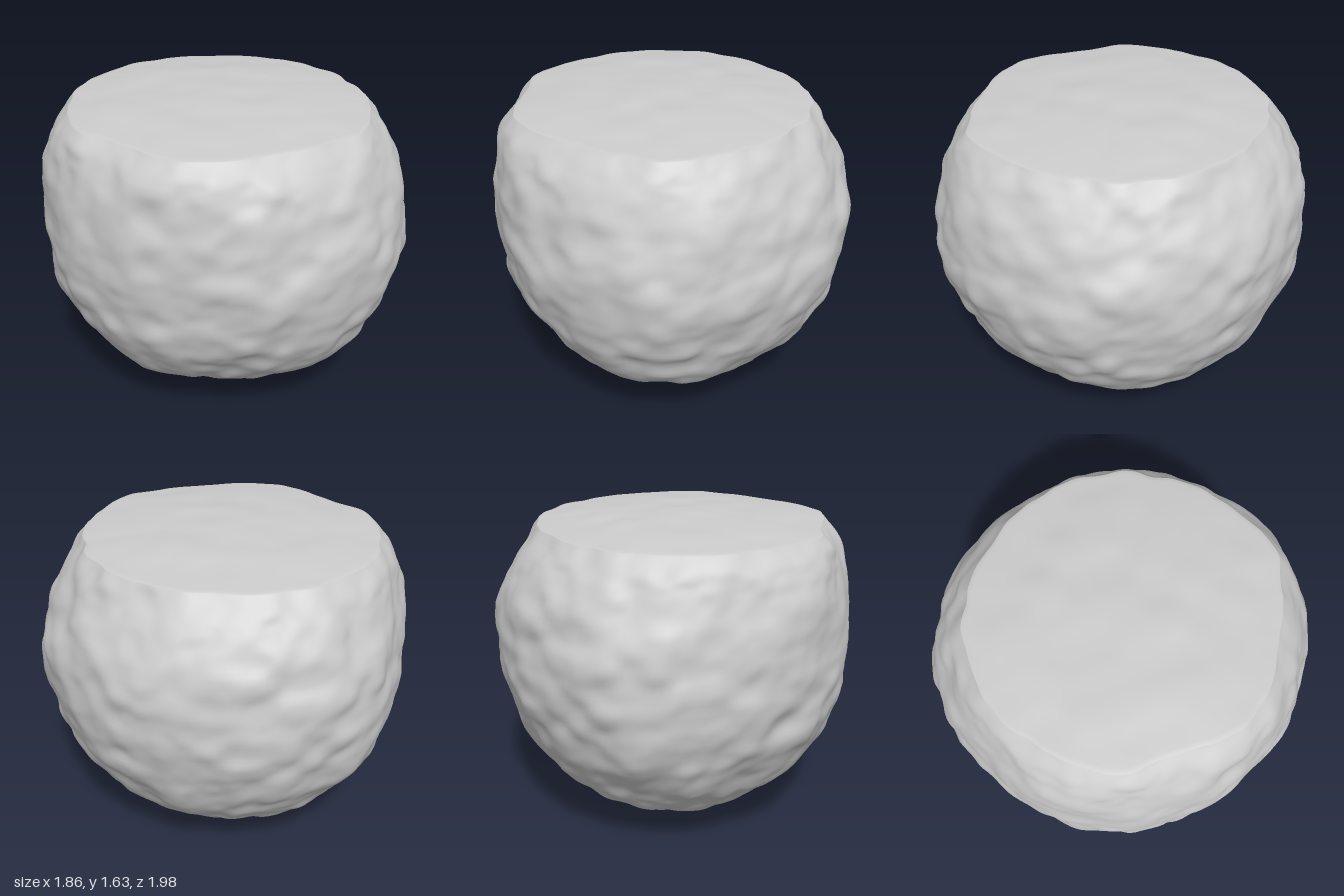
import * as THREE from 'three';

const SEGMENTS = 190, SIDE_RINGS = 110, TOP_RINGS = 32;

// Smooth seeded 3D value noise in the range -1..1
function hash(x, y, z) {
  let h = (Math.imul(x, 374761393) + Math.imul(y, 668265263) + Math.imul(z, 1274126177) + 977) | 0;
  h = Math.imul(h ^ (h >>> 13), 1274126177);
  return ((h ^ (h >>> 16)) >>> 0) / 2147483648 - 1;
}
function noise(x, y, z) {
  const ix = Math.floor(x), iy = Math.floor(y), iz = Math.floor(z);
  const ease = (t) => t * t * t * (t * (t * 6 - 15) + 10);
  const u = ease(x - ix), v = ease(y - iy), w = ease(z - iz);
  const mix = THREE.MathUtils.lerp;
  const row = (b, c) => mix(hash(ix, iy + b, iz + c), hash(ix + 1, iy + b, iz + c), u);
  return mix(mix(row(0, 0), row(1, 0), v), mix(row(0, 1), row(1, 1), v), w);
}
const bumps = (x, y, z) =>
  0.018 * noise(x * 4, y * 4.5, z * 4) +
  0.015 * noise(x * 8, y * 9, z * 8) +
  0.004 * noise(x * 16, y * 18, z * 16);

// Plan radii every 30 degrees, from +x towards +z
const WAIST = [0.935, 0.945, 0.945, 0.975, 0.945, 0.93, 0.935, 0.95, 0.945, 0.985, 0.955, 0.945];
const RIM = [0.69, 0.70, 0.725, 0.755, 0.74, 0.80, 0.77, 0.79, 0.76, 0.75, 0.725, 0.69];
function planRadius(table, turn) {
  const t = turn * 12, i = Math.floor(t), f = t - i;
  const at = (k) => table[(i + k + 12) % 12];
  const [a, b, c, d] = [at(-1), at(0), at(1), at(2)];
  return b + 0.5 * f * (c - a + f * (2 * a - 5 * b + 4 * c - d + f * (3 * (b - c) + d - a)));
}

// Side outline from the underside tip to the rim, as [radius / waist radius, height]
const outline = new THREE.SplineCurve([
  [0, 0], [0.13, 0.02], [0.38, 0.1], [0.565, 0.2], [0.7, 0.3], [0.8, 0.4], [0.92, 0.6],
  [0.98, 0.8], [1, 1.0], [0.975, 1.2], [0.9, 1.4], [0.84, 1.5], [0.77, 1.585],
].map(([r, y]) => new THREE.Vector2(r, y)));

// Point on the rugged side; t runs from tip to rim
function sidePoint(t, turn) {
  const p = outline.getPoint(t), a = turn * Math.PI * 2;
  const { lerp, smoothstep } = THREE.MathUtils;
  const toRim = smoothstep(p.y, 1.05, 1.585);
  const r = p.x * lerp(planRadius(WAIST, turn), planRadius(RIM, turn) / 0.77, toRim);
  const tip = -0.03 * (1 - smoothstep(p.y, 0, 0.5));
  const pos = new THREE.Vector3(Math.cos(a) * r + tip, p.y, Math.sin(a) * r + tip);
  const out = new THREE.Vector3(pos.x, (p.y - 0.96) * (1 - toRim), pos.z).normalize();
  return pos.addScaledVector(out, bumps(pos.x, pos.y, pos.z) * smoothstep(p.y, 0, 0.12));
}

// Point on the gently domed cut; t runs from rim to centre
function topPoint(t, turn) {
  const pos = sidePoint(1, turn), k = 1 - t;
  pos.x *= k;
  pos.z *= k;
  pos.y += 0.048 * (1 - k * k) + 0.005 * Math.min(1, t * 5) * noise(pos.x * 6, 3, pos.z * 6);
  return pos;
}

// Closed rings from the tip up the side and over the top, joined into one smooth skin
function boulderGeometry() {
  const positions = [], index = [], rings = SIDE_RINGS + TOP_RINGS;
  for (let i = 0; i <= rings; i++) {
    for (let j = 0; j < SEGMENTS; j++) {
      const turn = j / SEGMENTS;
      const p = i <= SIDE_RINGS
        ? sidePoint(i / SIDE_RINGS, turn)
        : topPoint((i - SIDE_RINGS) / TOP_RINGS, turn);
      positions.push(p.x, p.y, p.z);
      if (i === rings) continue;
      const a = i * SEGMENTS + j, b = i * SEGMENTS + (j + 1) % SEGMENTS;
      index.push(a, a + SEGMENTS, b, b, a + SEGMENTS, b + SEGMENTS);
    }
  }
  const geometry = new THREE.BufferGeometry();
  geometry.setAttribute('position', new THREE.Float32BufferAttribute(positions, 3));
  geometry.setIndex(index);
  geometry.computeVertexNormals();
  return geometry;
}

export function createModel() {
  const stone = new THREE.MeshStandardMaterial({ color: 0xcccccc });
  stone.name = 'stone grey';
  const boulder = new THREE.Mesh(boulderGeometry(), stone);
  boulder.name = 'boulder';
  const model = new THREE.Group();
  model.name = 'flatToppedBoulder';
  model.add(boulder);
  return model;
}
